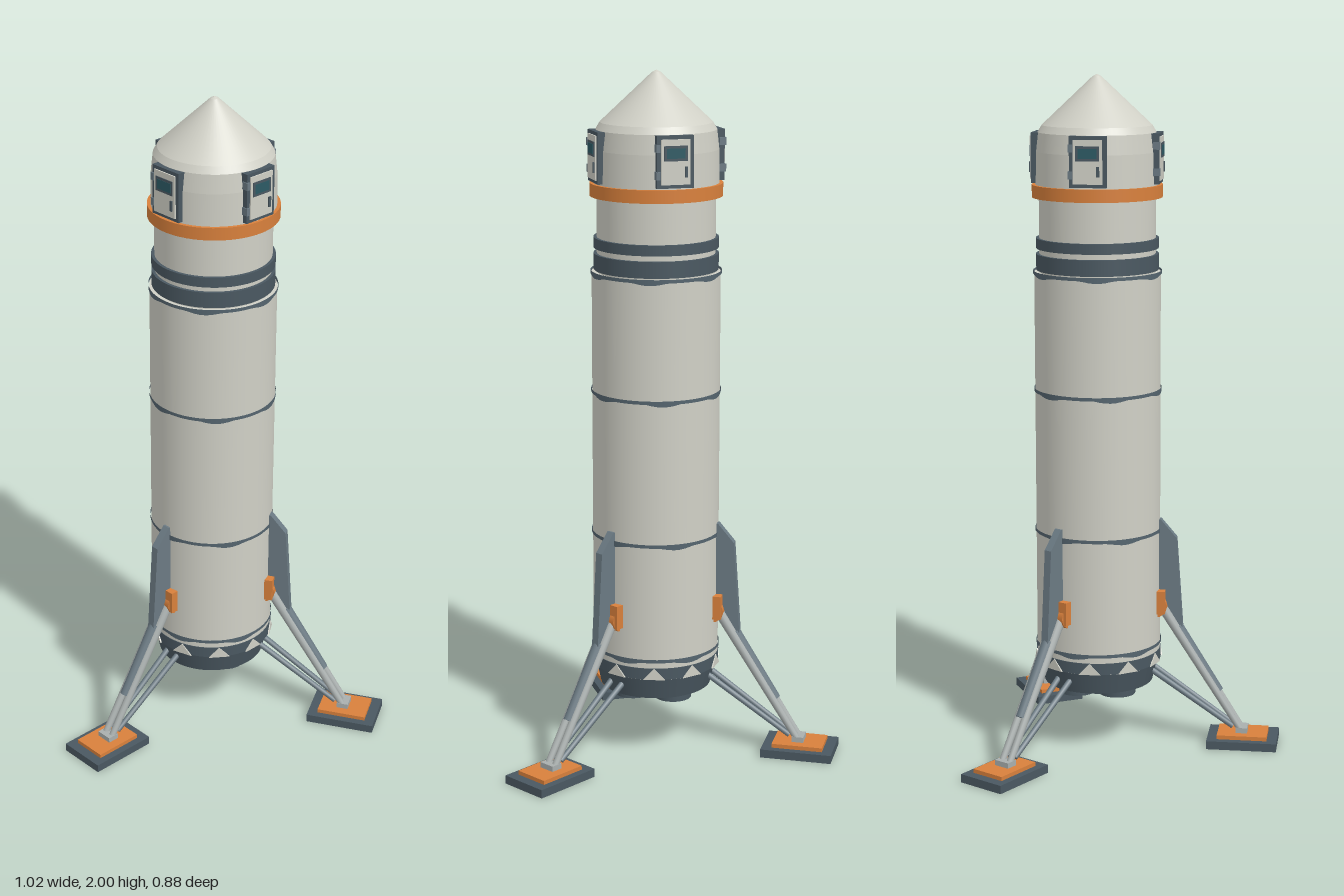
import * as THREE from 'three';

const mat = (color, side = THREE.FrontSide) => new THREE.MeshStandardMaterial({ color, side });
const WHITE = mat(0xd0d0c6), DARK = mat(0x4a5861), STEEL = mat(0x6b7a83), PALE = mat(0xa9afae);
const ORANGE = mat(0xd8803c), GLASS = mat(0x2c5a64), SEAM = mat(0x55656f, THREE.DoubleSide);

function add(parent, name, geo, material, x = 0, y = 0, z = 0) {
  const m = new THREE.Mesh(geo, material);
  m.name = name;
  m.position.set(x, y, z);
  parent.add(m);
  return m;
}

// Lathe made of separate straight runs, so every profile corner stays sharp
function turned(parent, name, points, material) {
  const g = new THREE.Group();
  g.name = name;
  for (let i = 0; i < points.length - 1; i++) {
    const run = [points[i], points[i + 1]].map(p => new THREE.Vector2(p[0], p[1]));
    add(g, name + 'Section', new THREE.LatheGeometry(run, 64), material);
  }
  parent.add(g);
}

// Closed ring between two heights
const ring = (parent, name, r, y0, y1, material) =>
  turned(parent, name, [[0, y0], [r, y0], [r, y1], [0, y1]], material);

// Round bar between two points
function bar(parent, name, a, b, r0, r1, material, sides = 12) {
  const from = new THREE.Vector3(...a), to = new THREE.Vector3(...b);
  const dir = to.clone().sub(from);
  const m = add(parent, name, new THREE.CylinderGeometry(r1, r0, dir.length(), sides), material);
  m.position.copy(from).addScaledVector(dir, 0.5);
  m.quaternion.setFromUnitVectors(new THREE.Vector3(0, 1, 0), dir.normalize());
}

// Panel seam with an uneven lower edge
function seam(parent, y, phase) {
  const geo = new THREE.CylinderGeometry(0.188, 0.188, 0.01, 72, 1, true);
  const p = geo.attributes.position;
  for (let i = 0; i < p.count; i++) {
    if (p.getY(i) > 0) continue;
    const a = Math.round(Math.atan2(p.getX(i), p.getZ(i)) / (Math.PI / 36));
    const k = (a + 72) % 72;
    p.setY(i, -0.005 - 0.007 * Math.max(0, Math.sin(k * Math.PI / 6 + phase)));
  }
  add(parent, 'panelSeam', geo, SEAM, 0, y, 0);
}

function buildLeg() {
  const leg = new THREE.Group();
  leg.name = 'landingLeg';
  // Foot pad
  add(leg, 'footPad', new THREE.BoxGeometry(0.15, 0.025, 0.21), DARK, 0, 0.0125, 0.44);
  add(leg, 'footPlate', new THREE.BoxGeometry(0.106, 0.012, 0.15), ORANGE, 0, 0.031, 0.44);
  add(leg, 'footPivot', new THREE.BoxGeometry(0.05, 0.02, 0.035), PALE, 0, 0.043, 0.437);
  // Main strut: twin rails around a piston
  for (const s of [-1, 1]) {
    bar(leg, 'mainRail', [s * 0.012, 0.42, 0.195], [s * 0.014, 0.035, 0.44], 0.015, 0.01, PALE);
    bar(leg, 'braceStrut', [s * 0.022, 0.225, 0.165], [s * 0.014, 0.055, 0.41], 0.009, 0.008, STEEL, 8);
  }
  bar(leg, 'piston', [0, 0.36, 0.238], [0, 0.16, 0.365], 0.019, 0.016, STEEL);
  // Orange hinge
  const hub = add(leg, 'hingeHub', new THREE.CylinderGeometry(0.033, 0.033, 0.06, 10), ORANGE, 0, 0.425, 0.178);
  hub.rotation.z = Math.PI / 2;
  add(leg, 'hingeBlock', new THREE.BoxGeometry(0.08, 0.07, 0.03), ORANGE, 0, 0.44, 0.19);
  // Fin: profile drawn in (outward, up)
  const fin = new THREE.Shape([[0.17, 0.69], [0.19, 0.69], [0.237, 0.635], [0.256, 0.36], [0.235, 0.34], [0.17, 0.43]]
    .map(p => new THREE.Vector2(...p)));
  const geo = new THREE.ExtrudeGeometry(fin, { depth: 0.024, bevelEnabled: false });
  geo.translate(0, 0, -0.012).rotateY(-Math.PI / 2);
  add(leg, 'fin', geo, STEEL);
  return leg;
}

function buildHatch() {
  const h = new THREE.Group();
  h.name = 'hatch';
  add(h, 'hatchFrame', new THREE.BoxGeometry(0.106, 0.145, 0.024), DARK, 0, 1.762, 0.174);
  add(h, 'hatchDoor', new THREE.BoxGeometry(0.084, 0.125, 0.006), WHITE, 0, 1.762, 0.187);
  add(h, 'windowFrame', new THREE.BoxGeometry(0.068, 0.042, 0.004), DARK, 0, 1.786, 0.190);
  add(h, 'windowPane', new THREE.BoxGeometry(0.054, 0.028, 0.004), GLASS, 0, 1.786, 0.191);
  add(h, 'hatchHandle', new THREE.BoxGeometry(0.008, 0.03, 0.006), DARK, 0.03, 1.735, 0.191);
  for (const y of [1.725, 1.8])
    add(h, 'hatchHinge', new THREE.BoxGeometry(0.012, 0.022, 0.02), STEEL, -0.05, y, 0.18);
  return h;
}

export function createModel() {
  const model = new THREE.Group();
  model.name = 'rocket';
  const rocket = new THREE.Group();
  rocket.name = 'rocketBody';
  rocket.position.z = -0.105;
  model.add(rocket);

  // Hull, skirt and neck
  turned(rocket, 'hull', [[0, 0.255], [0.185, 0.255], [0.185, 1.43], [0, 1.43]], WHITE);
  turned(rocket, 'engineSkirt', [[0, 0.19], [0.163, 0.19], [0.178, 0.256]], DARK);
  ring(rocket, 'skirtBand', 0.187, 0.256, 0.29, DARK);
  ring(rocket, 'neck', 0.17, 1.42, 1.66, WHITE);
  ring(rocket, 'lowerNeckBand', 0.179, 1.437, 1.484, DARK);
  ring(rocket, 'upperNeckBand', 0.179, 1.5, 1.53, DARK);
  [0.312, 0.66, 1.083, 1.43].forEach((y, i) => seam(rocket, y, i * 1.3));

  // Light teeth around the skirt
  const tooth = new THREE.Shape([[-0.032, 0], [0.032, 0], [0, 0.034]].map(p => new THREE.Vector2(...p)));
  const toothGeo = new THREE.ExtrudeGeometry(tooth, { depth: 0.004, bevelEnabled: false });
  toothGeo.translate(0, 0.256, 0.1855);
  for (let i = 0; i < 10; i++)
    add(rocket, 'skirtTooth', toothGeo, WHITE).rotation.y = (i + 0.5) * Math.PI / 5;

  // Capsule and nose
  ring(rocket, 'capsuleRing', 0.19, 1.648, 1.685, ORANGE);
  turned(rocket, 'capsule', [[0.18, 1.68], [0.178, 1.78], [0.172, 1.835], [0.16, 1.855], [0.012, 1.994], [0, 2]], WHITE);
  for (let i = 0; i < 4; i++) {
    const h = buildHatch();
    h.rotation.y = i * Math.PI / 2;
    rocket.add(h);
  }

  // Three engines and three legs
  for (let i = 0; i < 3; i++) {
    const a = i * Math.PI * 2 / 3;
    const nozzle = new THREE.Group();
    nozzle.name = 'engineNozzle';
    nozzle.position.set(0.07 * Math.cos(a), 0, 0.07 * Math.sin(a));
    turned(nozzle, 'nozzleBell', [[0, 0.183], [0.036, 0.183], [0.044, 0.155], [0.055, 0.155], [0.055, 0.195]], DARK);
    rocket.add(nozzle);
    const leg = buildLeg();
    leg.rotation.y = a;
    rocket.add(leg);
  }
  return model;
}
